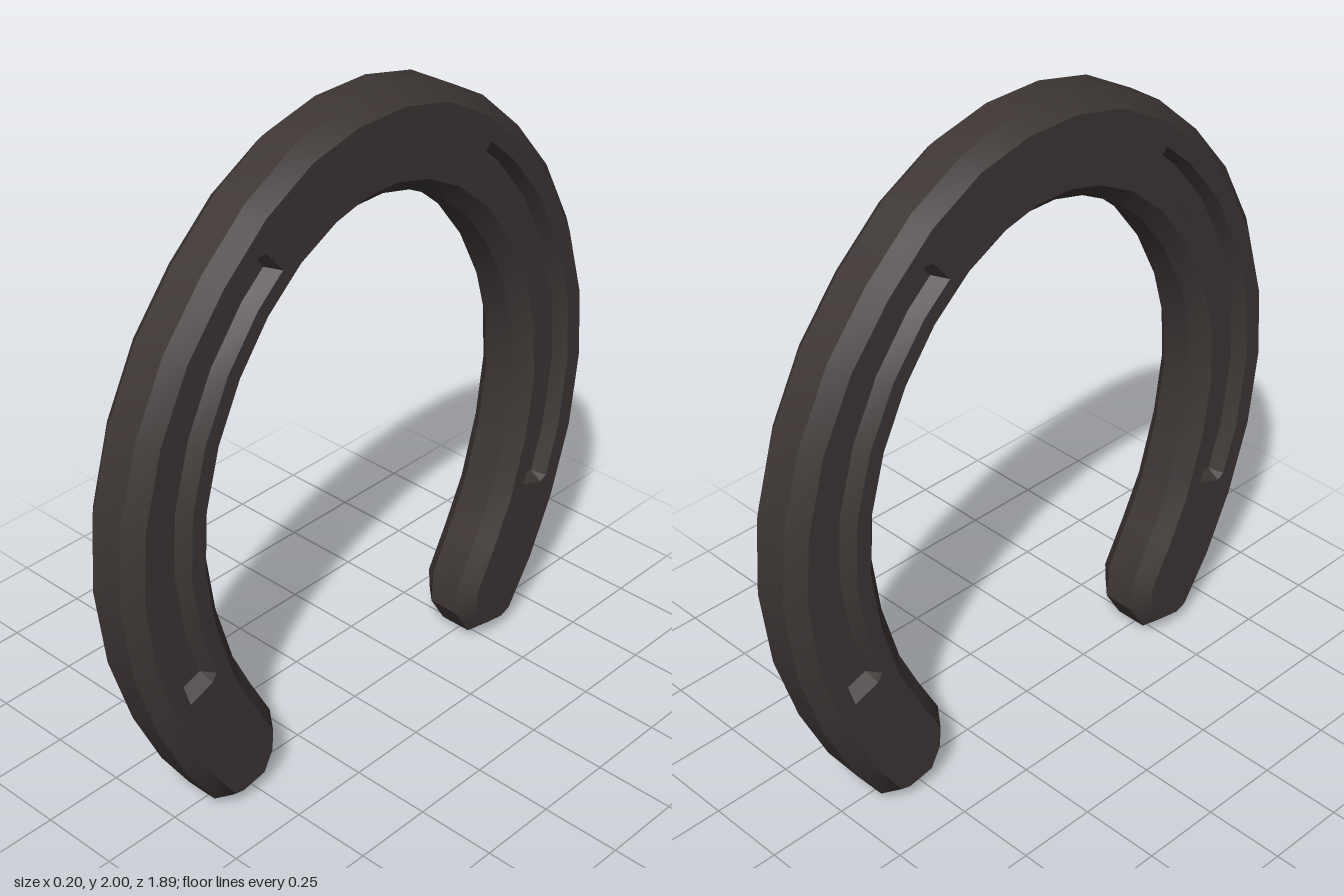
import * as THREE from 'three';
import { toCreasedNormals } from 'three/addons/utils/BufferGeometryUtils.js';

// Outer and inner outline of one half, as [z, y] pairs from the crown to the heel
const OUTER = [[.095, 2], [.276, 1.957], [.456, 1.857], [.615, 1.713], [.753, 1.544], [.86, 1.337],
  [.928, 1.1], [.944, .87], [.912, .62], [.838, .387], [.743, .186], [.642, .032]];
const INNER = [[.053, 1.703], [.159, 1.676], [.281, 1.613], [.398, 1.512], [.499, 1.379], [.578, 1.22],
  [.626, 1.05], [.637, .875], [.61, .69], [.552, .493], [.488, .361], [.414, .223]];
const HALF = 0.1;          // half thickness
const RIM = 0.052;         // half width of the flat rim
const BEVEL = 0.045;       // bevel inset on the faces
const DEPTH = 0.045;       // groove depth
const GROOVE = [.33, .395, .62, .69];   // groove lanes as fractions of the width

const mix = (a, b, t) => [a[0] + (b[0] - a[0]) * t, a[1] + (b[1] - a[1]) * t];

function along(list, s) {
  const i = Math.min(Math.floor(s), list.length - 2);
  return mix(list[i], list[i + 1], s - i);
}

// One closed cross-section: across the left face, then back across the right face
function section(o, i, fo, fi, sunk) {
  const floor = sunk ? HALF - DEPTH : HALF;
  const lanes = GROOVE.map((t) => mix(o, i, t));
  if (fo === undefined) {
    const w = Math.hypot(o[0] - i[0], o[1] - i[1]);
    fo = mix(o, i, BEVEL / w);
    fi = mix(i, o, BEVEL / w);
  } else {
    lanes.forEach((_, k) => { lanes[k] = mix(fo, fi, (k + 1) / 5); });
  }
  const side = [[RIM, o], [HALF, fo], [HALF, lanes[0]], [floor, lanes[1]],
    [floor, lanes[2]], [HALF, lanes[3]], [HALF, fi], [RIM, i]].map(([x, p]) => [x, p[1], p[0]]);
  return [...side, ...side.map(([x, y, z]) => [-x, y, z]).reverse()];
}

function shoeGeometry() {
  // Stations down one half; the groove is sunk between its two sloped ends
  const stations = [0, 1, 2, 2.3, 2.4, 3, 4, 5, 6, 7, 8, 8.7, 8.79, 9, 10, 11];
  const half = stations.map((s) =>
    section(along(OUTER, s), along(INNER, s), undefined, undefined, s > 2.35 && s < 8.75));
  // Rounded heel
  half.push(section([.568, 0], [.408, .117], [.572, .047], [.453, .125], false));
  half.push(section([.467, .021], [.467, .021], [.487, .062], [.487, .062], false));

  const mirrored = half.map((ring) => ring.map(([x, y, z]) => [x, y, -z]));
  const rings = [...half.reverse(), ...mirrored];

  const pos = [];
  const v = [new THREE.Vector3(), new THREE.Vector3(), new THREE.Vector3()];
  const tri = (...pts) => {
    pts.forEach((p, k) => v[k].fromArray(p));
    const area = v[1].clone().sub(v[0]).cross(v[2].clone().sub(v[0])).length();
    if (area > 1e-7) pos.push(...pts.flat());
  };
  for (let k = 0; k < rings.length - 1; k++) {
    const a = rings[k], b = rings[k + 1], n = a.length;
    for (let j = 0; j < n; j++) {
      const m = (j + 1) % n;
      tri(a[j], a[m], b[m]);
      tri(a[j], b[m], b[j]);
    }
  }
  const geo = new THREE.BufferGeometry();
  geo.setAttribute('position', new THREE.Float32BufferAttribute(pos, 3));
  geo.computeVertexNormals();
  return toCreasedNormals(geo, 0.5);
}

export function createModel() {
  const iron = new THREE.MeshStandardMaterial({ color: 0x3d3635 });
  iron.name = 'darkIron';
  const shoe = new THREE.Mesh(shoeGeometry(), iron);
  shoe.name = 'horseshoe';
  const group = new THREE.Group();
  group.name = 'groovedHorseshoe';
  group.add(shoe);
  return group;
}
